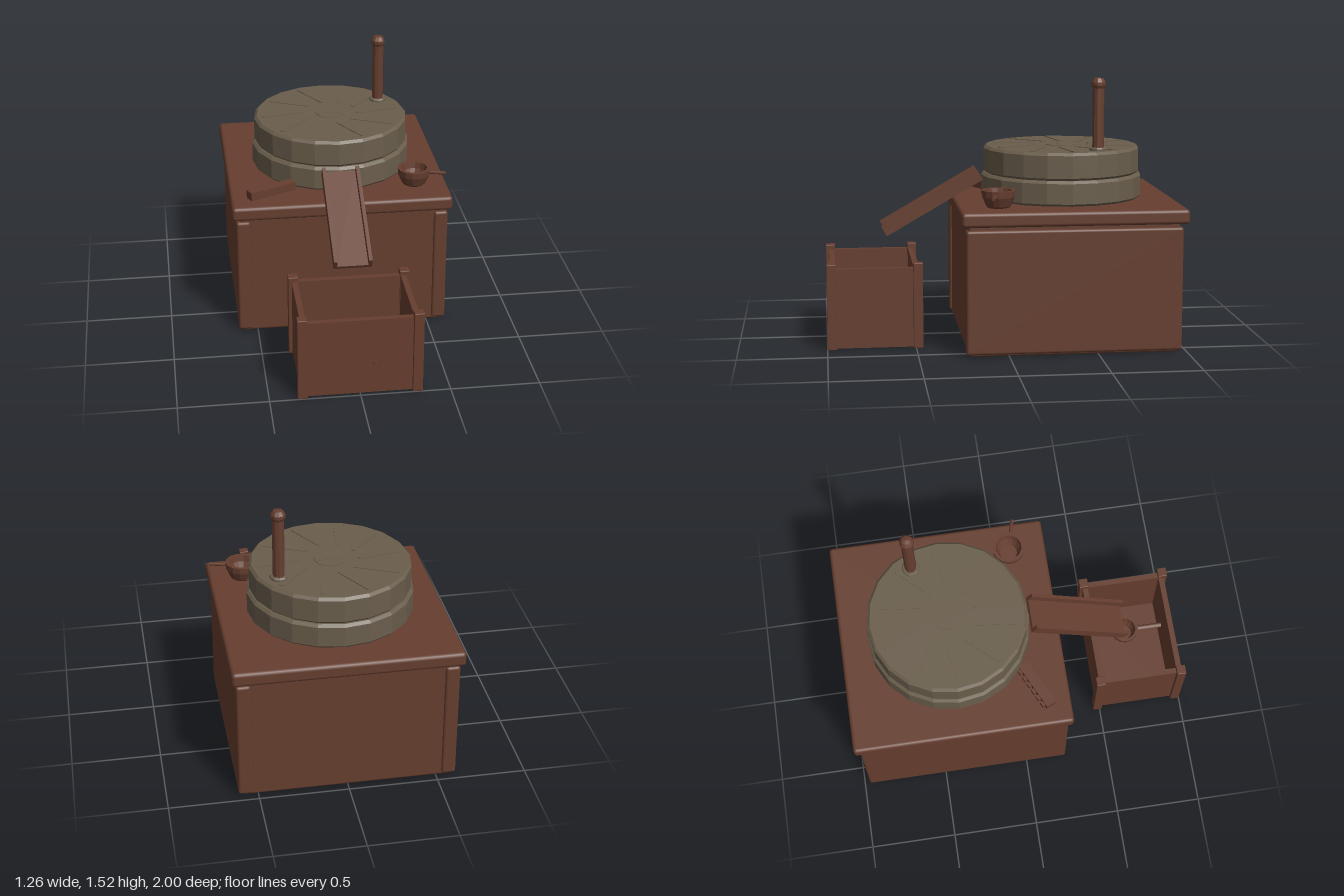
import * as THREE from 'three';
import { RoundedBoxGeometry } from 'three/addons/geometries/RoundedBoxGeometry.js';

export function createModel() {
  const model = new THREE.Group();
  model.name = 'handMill';
  const wood = new THREE.MeshStandardMaterial({ color: 0x663e2f });
  wood.name = 'brown wood';
  const stone = new THREE.MeshStandardMaterial({ color: 0x6a5e4c });
  stone.name = 'grey stone';

  const add = (parent, name, geo, mat, x = 0, y = 0, z = 0) => {
    const mesh = new THREE.Mesh(geo, mat);
    mesh.name = name;
    mesh.position.set(x, y, z);
    parent.add(mesh);
    return mesh;
  };
  const group = (name, x = 0, y = 0, z = 0) => {
    const g = new THREE.Group();
    g.name = name;
    g.position.set(x, y, z);
    model.add(g);
    return g;
  };
  // Box given by its limits, with an optional bevel
  const block = (parent, name, [x0, x1], [y0, y1], [z0, z1], bevel = 0) => {
    const w = x1 - x0, h = y1 - y0, d = z1 - z0;
    const geo = bevel ? new RoundedBoxGeometry(w, h, d, 2, bevel) : new THREE.BoxGeometry(w, h, d);
    return add(parent, name, geo, wood, (x0 + x1) / 2, (y0 + y1) / 2, (z0 + z1) / 2);
  };
  // Faceted turned shape
  const turned = (points, sides) => {
    const geo = new THREE.LatheGeometry(points.map(p => new THREE.Vector2(...p)), sides).toNonIndexed();
    geo.computeVertexNormals();
    return geo;
  };

  // Cabinet
  const cabinet = group('cabinet');
  block(cabinet, 'cabinetBody', [-0.585, 0.585], [0, 0.74], [-0.955, 0.225], 0.015);
  for (const s of [-1, 1]) {
    block(cabinet, 'sidePanel', [s * 0.57 - 0.04, s * 0.57 + 0.04], [0.015, 0.71], [-0.97, 0.24], 0.015);
  }
  block(cabinet, 'tableTop', [-0.632, 0.632], [0.73, 0.812], [-1, 0.265], 0.02);

  // Millstones
  const mill = group('millstones', 0, 0, -0.37);
  const disc = (r, h) => turned([[0, 0], [r - 0.015, 0], [r, 0.015], [r, h - 0.015], [r - 0.015, h], [0, h]], 20);
  add(mill, 'lowerStone', disc(0.467, 0.145), stone, 0, 0.81, 0);
  add(mill, 'upperStone', disc(0.453, 0.157), stone, 0, 0.953, 0);
  add(mill, 'eyePlate', new THREE.CylinderGeometry(0.088, 0.088, 0.004, 20), stone, 0, 1.111, 0);
  add(mill, 'eyeBar', new THREE.BoxGeometry(0.17, 0.006, 0.034), stone, 0, 1.112, 0);
  for (let i = 0; i < 10; i++) {
    const a = THREE.MathUtils.degToRad(18 + i * 36);
    const rib = add(mill, 'grindingRib', new THREE.BoxGeometry(0.025, 0.006, 0.25), stone,
      Math.sin(a) * 0.28, 1.111, -Math.cos(a) * 0.28);
    rib.rotation.y = -a + 0.2;
  }

  // Turning handle
  const handle = group('handle', 0.31, 0, -0.535);
  add(handle, 'handleCollar', turned([[0, 0], [0.05, 0], [0.05, 0.015], [0.044, 0.022], [0, 0.022]], 10), stone, 0, 1.105, 0);
  add(handle, 'handleShaft', turned([[0.033, 0], [0.033, 0.34]], 10), wood, 0, 1.12, 0);
  add(handle, 'handleKnob', turned([[0, 0], [0.03, 0.005], [0.041, 0.028], [0.041, 0.046], [0.027, 0.067], [0, 0.073]], 10),
    wood, 0, 1.448, 0);

  // Sloping chute
  const chute = group('chute', 0, 0.792, 0.39);
  chute.rotation.x = Math.PI / 6;
  block(chute, 'chuteFloor', [-0.09, 0.09], [-0.033, -0.013], [-0.32, 0.32]);
  for (const s of [-1, 1]) {
    block(chute, 'chuteWall', [s * 0.097 - 0.01, s * 0.097 + 0.01], [-0.033, 0.033], [-0.32, 0.32]);
  }

  // Flour bin
  const bin = group('bin');
  block(bin, 'binFloor', [-0.31, 0.31], [0.005, 0.03], [0.48, 0.98]);
  for (const s of [-1, 1]) {
    const z = 0.73 + s * 0.235;
    block(bin, 'binEnd', [-0.31, 0.31], [0.005, 0.46], [z - 0.016, z + 0.016]);
    block(bin, 'binSide', [s * 0.309 - 0.016, s * 0.309 + 0.016], [0.005, 0.46], [0.48, 0.98]);
    for (const t of [-1, 1]) {
      const px = s * 0.317, pz = 0.73 + t * 0.243;
      block(bin, 'binPost', [px - 0.028, px + 0.028], [0, 0.488], [pz - 0.027, pz + 0.027], 0.004);
    }
  }

  // Ladles: one on the table, one in the bin with its handle through the end
  const ladle = (x, y, z, scale, length, turn, r) => {
    const g = group('ladle', x, y, z);
    g.rotation.y = turn;
    const bowl = [[0, 0], [0.062, 0], [0.07, 0.008], [0.092, 0.06], [0.095, 0.097], [0.076, 0.097], [0.07, 0.06], [0.05, 0.018], [0, 0.018]];
    add(g, 'ladleBowl', turned(bowl.map(p => p.map(v => v * scale)), 14), wood);
    const rod = add(g, 'ladleHandle', new THREE.CylinderGeometry(r, r, length - 0.08, 6), wood, (length + 0.08) / 2, 0.072 * scale, 0);
    rod.rotation.z = Math.PI / 2;
  };
  ladle(0.44, 0.815, 0.045, 1, 0.185, -0.26, 0.01);
  ladle(0.085, 0.125, 0.72, 0.88, 0.275, -Math.PI / 2, 0.016);

  // Brush lying on the table
  const brush = group('brush', -0.4, 0.812, 0.075);
  brush.rotation.y = 0.44;
  block(brush, 'brushBack', [-0.145, 0.145], [0, 0.048], [-0.018, 0.04]);
  for (let i = 0; i < 6; i++) {
    const x = -0.115 + i * 0.046;
    block(brush, 'brushTuft', [x - 0.014, x + 0.014], [0.01, 0.038], [-0.036, -0.018]);
  }
  return model;
}
